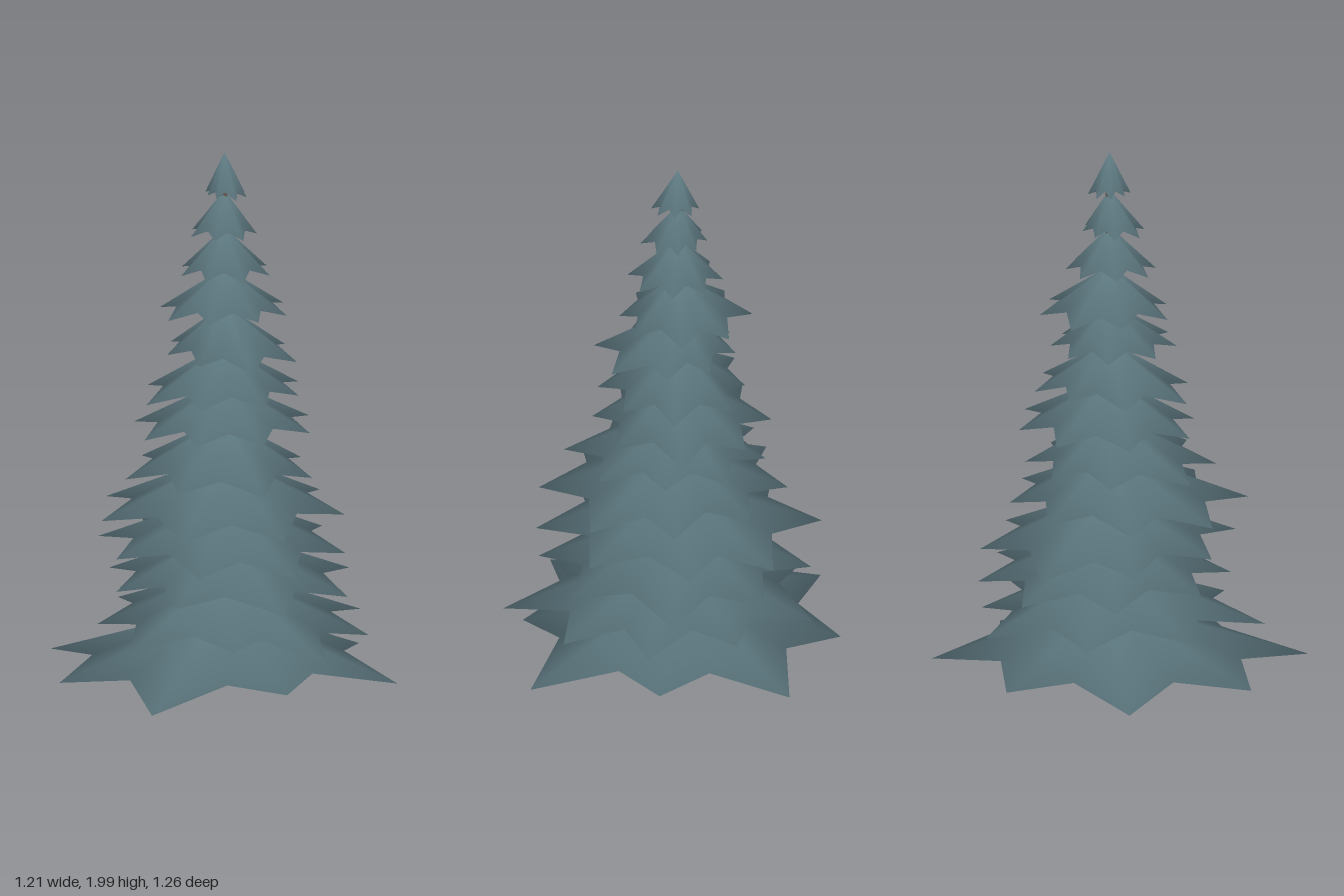
import * as THREE from 'three';

const CX = 0.065, CZ = -0.022; // trunk axis

function makeRandom(seed) {
  return () => {
    seed = (seed * 16807) % 2147483647;
    return seed / 2147483647;
  };
}

// Two lowest tiers: [angle in degrees, reach, tip height] of each bough
const lowTiers = [
  [
    [6, 0.54, 0.05], [50.5, 0.70, 0.02], [94, 0.58, 0.045], [139, 0.745, 0.01],
    [183.4, 0.675, 0.025], [228.8, 0.695, 0.015], [274, 0.61, 0.035], [320, 0.665, 0.035],
  ],
  [
    [11, 0.53, 0.195], [47, 0.57, 0.185], [82.5, 0.655, 0.165], [114, 0.50, 0.2], [155, 0.59, 0.185],
    [198, 0.48, 0.2], [245, 0.50, 0.2], [292, 0.55, 0.19], [331, 0.48, 0.2],
  ],
];
const lowBases = [0.03, 0.182];

// Upper tiers: [tip height, reach to -x, +x, +z, -z, rotation in degrees]
const upperTiers = [
  [0.338, 0.44, 0.52, 0.52, 0.50, 5],
  [0.480, 0.46, 0.44, 0.53, 0.54, -4],
  [0.636, 0.50, 0.40, 0.52, 0.41, 2],
  [0.783, 0.40, 0.30, 0.43, 0.33, 6],
  [0.936, 0.35, 0.37, 0.32, 0.35, 0],
  [1.078, 0.34, 0.31, 0.30, 0.25, -2],
  [1.234, 0.23, 0.24, 0.32, 0.22, 8],
  [1.383, 0.25, 0.26, 0.22, 0.28, -4],
  [1.543, 0.18, 0.17, 0.19, 0.17, 4],
  [1.692, 0.14, 0.11, 0.14, 0.11, -3],
  [1.838, 0.07, 0.08, 0.10, 0.08, 5],
];

// Eight boughs whose reach blends between the four main directions; long ones droop lower
function tierTips([y, left, right, front, back, turn], random) {
  const mean = (left + right + front + back) / 4;
  const tips = [];
  for (let i = 0; i < 8; i++) {
    const angle = i * 45 + turn + (random() - 0.5) * 8;
    const c = Math.cos(angle * Math.PI / 180), s = Math.sin(angle * Math.PI / 180);
    const blend = (c > 0 ? right : left) * c * c + (s > 0 ? front : back) * s * s;
    const reach = blend * (i % 2 ? 0.92 + random() * 0.12 : 1);
    tips.push([angle, reach, y - (reach - mean) * 0.2]);
  }
  return tips;
}

// Star-shaped cone: tips droop, notches sit higher; the underside is a shallow hollow
function tierGeometry(tips, apexY) {
  const rim = [];
  tips.forEach(([angle, reach, y], i) => {
    const next = tips[(i + 1) % tips.length];
    const nextAngle = next[0] + (i === tips.length - 1 ? 360 : 0);
    const notchReach = (reach + next[1]) / 2 * 0.72;
    const notchY = (y + next[2]) / 2 + 0.022 + notchReach * 0.04;
    for (const [a, r, h] of [[angle, reach, y], [(angle + nextAngle) / 2, notchReach, notchY]]) {
      const t = a * Math.PI / 180;
      rim.push([Math.cos(t) * r, h, Math.sin(t) * r]);
    }
  });
  const n = rim.length;
  const hollowY = rim.reduce((sum, p) => sum + p[1], 0) / n + 0.008 + tips[0][1] * 0.03;
  // The rim is shared, so shading rolls softly from top to underside
  const positions = [0, apexY, 0, ...rim.flat(), 0, hollowY, 0];
  const index = [];
  for (let i = 0; i < n; i++) {
    const a = 1 + i, b = 1 + (i + 1) % n;
    index.push(0, b, a, n + 1, a, b);
  }
  const geometry = new THREE.BufferGeometry();
  geometry.setAttribute('position', new THREE.Float32BufferAttribute(positions, 3));
  geometry.setIndex(index);
  geometry.computeVertexNormals();
  return geometry;
}

export function createModel() {
  const needles = new THREE.MeshStandardMaterial({ color: 0x617d85 });
  needles.name = 'blueGreenNeedles';
  const bark = new THREE.MeshStandardMaterial({ color: 0x67574f });
  bark.name = 'brownBark';

  const tree = new THREE.Group();
  tree.name = 'firTree';

  // Square tapering trunk with its corners on the axes
  const trunk = new THREE.Mesh(new THREE.CylinderGeometry(0.016, 0.075, 1.89, 4), bark);
  trunk.name = 'trunk';
  trunk.position.set(CX, 0.01 + 1.89 / 2, CZ);
  tree.add(trunk);

  // Stacked tiers of boughs
  const random = makeRandom(4217);
  const tiers = [...lowTiers, ...upperTiers.map((tier) => tierTips(tier, random))];
  const bases = [...lowBases, ...upperTiers.map((tier) => tier[0])];
  tiers.forEach((tips, i) => {
    const apexY = i === tiers.length - 1 ? 2 : bases[i] + 0.217 - i * 0.005;
    const mesh = new THREE.Mesh(tierGeometry(tips, apexY), needles);
    mesh.name = `boughTier${i + 1}`;
    mesh.position.set(CX, 0, CZ);
    tree.add(mesh);
  });

  return tree;
}
